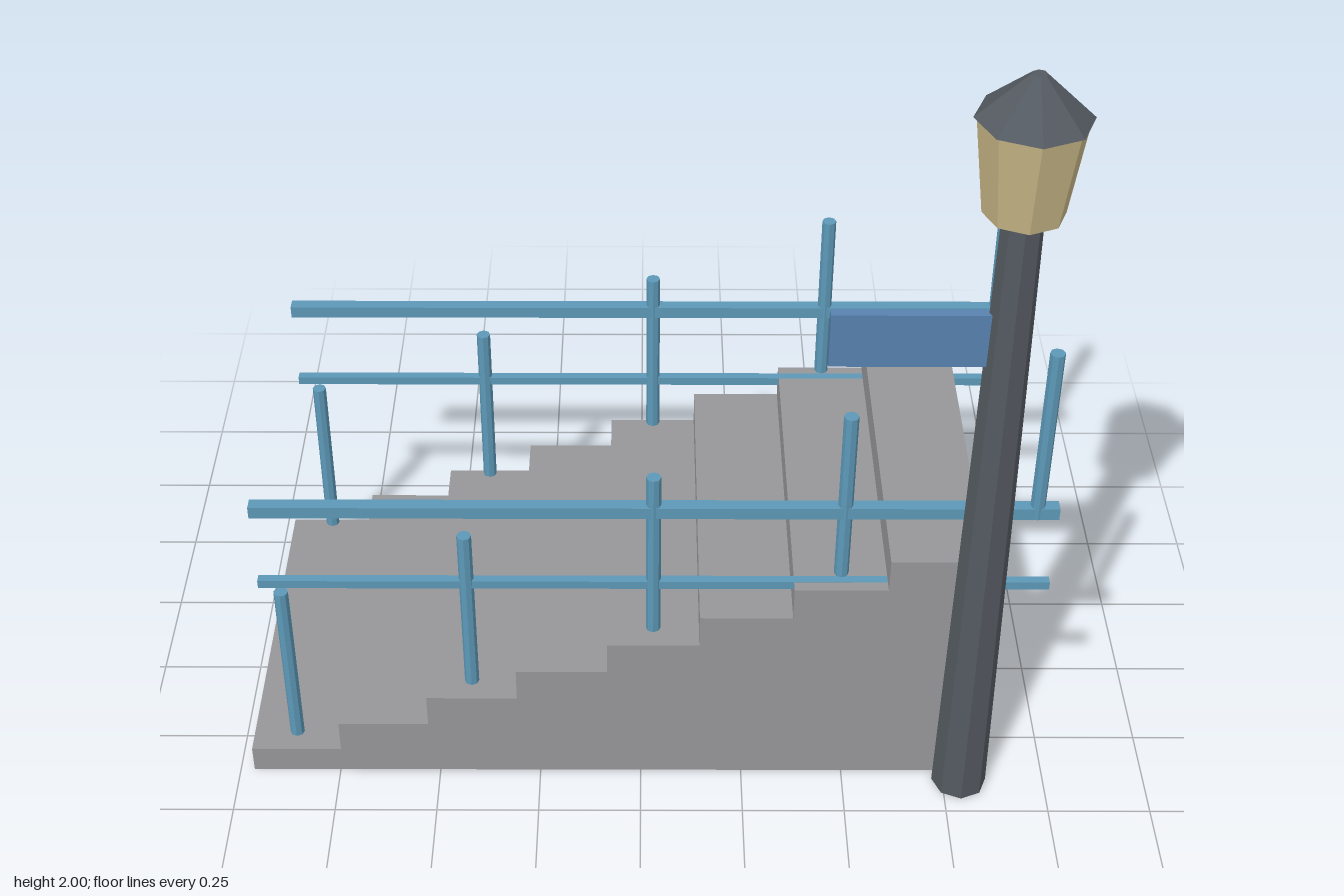
import * as THREE from 'three';

const material = (name, color) => {
  const m = new THREE.MeshStandardMaterial({ color, flatShading: true });
  m.name = name;
  return m;
};

export function createModel() {
  const group = new THREE.Group();
  const stone = material('stone grey', 0x97979a);
  const steel = material('rail blue', 0x5c98b6);
  const iron = material('dark iron', 0x545a61);
  const glass = material('lamp glass', 0xc6b584);
  const signBlue = material('sign blue', 0x5882b0);

  const add = (name, geometry, mat, x, y, z, parent = group) => {
    const mesh = new THREE.Mesh(geometry, mat);
    mesh.name = name;
    mesh.position.set(x, y, z);
    parent.add(mesh);
    return mesh;
  };

  // Solid staircase: stepped side profile extruded across its width
  const steps = 8, startX = -0.966, run = 0.2213, rise = 0.0886, firstRise = 0.07;
  const profile = new THREE.Shape();
  profile.moveTo(startX, 0);
  profile.lineTo(startX + steps * run, 0);
  for (let i = steps - 1; i >= 0; i--) {
    const y = firstRise + i * rise;
    profile.lineTo(startX + (i + 1) * run, y);
    profile.lineTo(startX + i * run, y);
  }
  add('staircase', new THREE.ExtrudeGeometry(profile, { depth: 0.88, bevelEnabled: false }),
    stone, 0, 0, -0.516);

  // Railings: two level bars and five climbing posts on each side
  const topBar = new THREE.BoxGeometry(1.87, 0.031, 0.031);
  const lowBar = new THREE.BoxGeometry(1.87, 0.022, 0.022);
  const post = new THREE.CylinderGeometry(0.0175, 0.0175, 0.465, 8);
  for (const [name, z] of [['frontRailing', 0.324], ['backRailing', -0.478]]) {
    const railing = new THREE.Group();
    railing.name = name;
    railing.position.z = z;
    group.add(railing);
    add('topBar', topBar, steel, 0.03, 0.815, 0, railing);
    add('lowBar', lowBar, steel, 0.03, 0.591, 0, railing);
    for (let i = 0; i < 5; i++) {
      add('post', post, steel, -0.855 + i * 0.4425, 0.326 + i * 0.1765, 0, railing);
    }
  }

  // Street lamp with a tapered pole, flared lantern and pointed cap
  const lamp = new THREE.Group();
  lamp.name = 'streetLamp';
  lamp.position.set(0.791, 0, 0.392);
  group.add(lamp);
  add('pole', new THREE.CylinderGeometry(0.045, 0.067, 1.68, 8), iron, 0, 0.84, 0, lamp);
  add('lantern', new THREE.CylinderGeometry(0.117, 0.088, 0.225, 8), glass, 0, 1.7875, 0, lamp);
  add('cap', new THREE.CylinderGeometry(0.016, 0.124, 0.1, 8), iron, 0, 1.95, 0, lamp);

  // Blank sign plate fixed to the pole
  add('sign', new THREE.BoxGeometry(0.355, 0.135, 0.024), signBlue, -0.2085, 1.353, 0, lamp);

  return group;
}
